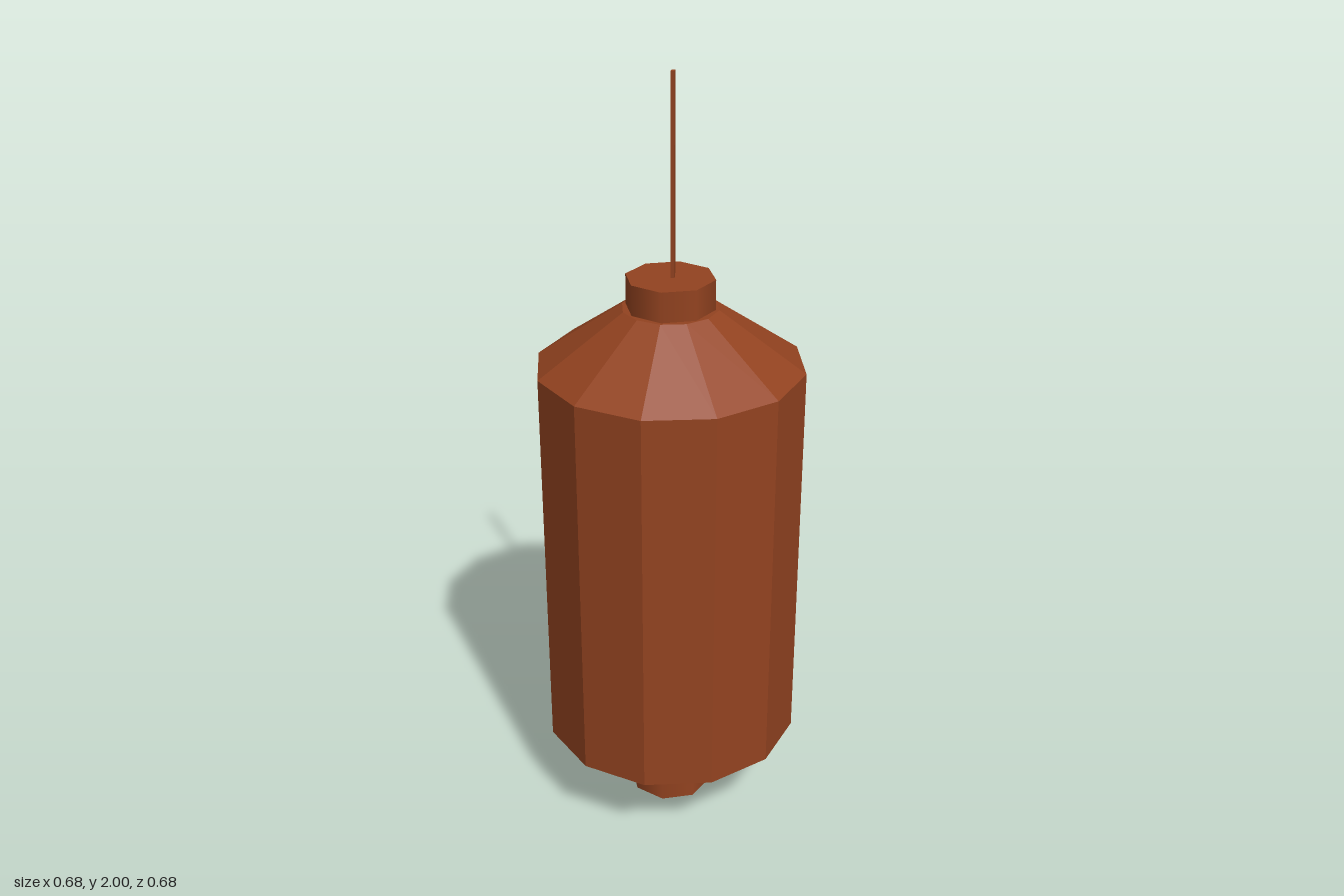
import * as THREE from 'three';

export function createModel() {
  const group = new THREE.Group();
  const color = 0x934320;
  const faceted = new THREE.MeshStandardMaterial({ color, flatShading: true });
  const smooth = new THREE.MeshStandardMaterial({ color });

  const add = (name, geometry, material, x, y, z) => {
    const mesh = new THREE.Mesh(geometry, material);
    mesh.name = name;
    mesh.position.set(x, y, z);
    group.add(mesh);
  };

  // Twelve-sided lantern shade with sloping shoulders, closed at both ends
  const profile = [[0, 0.08], [0.121, 0.08], [0.339, 0.23], [0.339, 1.28], [0.121, 1.43], [0, 1.43]]
    .map(([r, y]) => new THREE.Vector2(r, y));
  add('shade', new THREE.LatheGeometry(profile, 12), faceted, 0, 0, 0);

  // Eight-sided collars, smooth around the side
  const collar = new THREE.CylinderGeometry(0.112, 0.112, 0.08, 8);
  add('bottomCollar', collar, smooth, 0, 0.04, 0);
  add('topCollar', collar, smooth, 0, 1.467, 0);

  // Thin hanging cord
  add('cord', new THREE.BoxGeometry(0.009, 0.5, 0.014), smooth, 0.006, 1.75, 0.001);

  return group;
}
